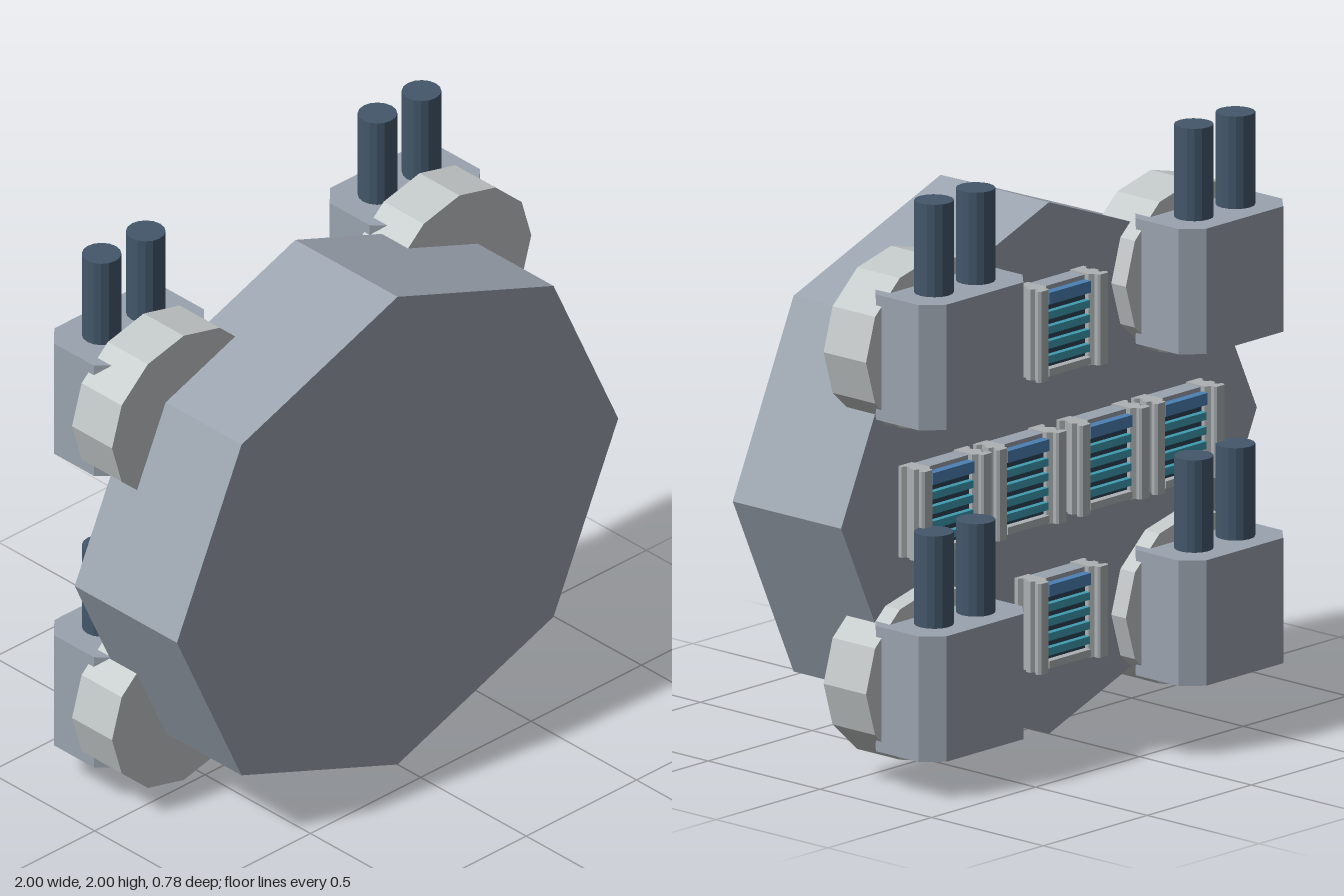
import * as THREE from 'three';

const mat = (name, color) => {
  const m = new THREE.MeshStandardMaterial({ color, flatShading: true });
  m.name = name;
  return m;
};

export function createModel() {
  const steel = mat('blue grey steel', 0x9aa3ae);
  const pale = mat('pale grey', 0xc2c7c8);
  const gunmetal = mat('gunmetal', 0x43576a);
  const railGrey = mat('rail grey', 0xacb1b3);
  const blue = mat('vent blue', 0x4b80b4);
  const teal = mat('vent teal', 0x3f9bb0);
  const dark = mat('vent dark', 0x2c4458);

  const model = new THREE.Group();
  model.name = 'turretPlatform';

  const add = (parent, name, geometry, material, x = 0, y = 0, z = 0) => {
    const mesh = new THREE.Mesh(geometry, material);
    mesh.name = name;
    mesh.position.set(x, y, z);
    parent.add(mesh);
    return mesh;
  };

  // Upright extrusion of a plan outline; second coordinate is distance toward the back (-z)
  const upright = (points, height) => {
    const shape = new THREE.Shape(points.map(([x, d]) => new THREE.Vector2(x, d)));
    const g = new THREE.ExtrudeGeometry(shape, { depth: height, bevelEnabled: false });
    return g.rotateX(-Math.PI / 2).translate(0, -height / 2, 0);
  };

  // Faceted disc facing along z, stretched to an ellipse
  const disc = (rx, ry, depth, sides) =>
    new THREE.CylinderGeometry(1, 1, depth, sides).rotateX(Math.PI / 2).scale(rx, ry, 1);

  // Main octagonal plate
  add(model, 'mainPlate', disc(1, 0.905, 0.485, 8), steel, 0, 0.905, 0.1475);

  // Four turrets: round mount, chamfered housing, two barrels
  const c = 0.065;
  const housing = upright([
    [-0.25, 0.07 + c], [-0.25 + c, 0.07], [0.25 - c, 0.07], [0.25, 0.07 + c],
    [0.25, 0.39 - c], [0.25 - c, 0.39], [-0.25 + c, 0.39], [-0.25, 0.39 - c],
  ], 0.427);
  const mount = disc(0.325, 0.295, 0.19, 12);
  const barrel = new THREE.CylinderGeometry(0.065, 0.065, 0.36, 16);
  for (const x of [-0.625, 0.625]) {
    for (const y of [0.343, 1.472]) {
      const turret = new THREE.Group();
      turret.name = 'turret';
      turret.position.set(x, y, 0);
      add(turret, 'turretMount', mount, pale, 0, 0, -0.065);
      add(turret, 'turretHousing', housing, steel);
      for (const bx of [-0.1, 0.1]) add(turret, 'barrel', barrel, gunmetal, bx, 0.348, -0.255);
      model.add(turret);
    }
  }

  // Vent panels on the back
  const H = 0.31;
  const railProfile = [
    [0.1, 0.08], [0.165, 0.08], [0.165, 0.11], [0.15, 0.12], [0.15, 0.135], [0.165, 0.145],
    [0.165, 0.165], [0.15, 0.173], [0.15, 0.183], [0.168, 0.19], [0.168, 0.202], [0.16, 0.21],
    [0.125, 0.21], [0.118, 0.202], [0.118, 0.19], [0.1, 0.178],
  ];
  const rails = [-1, 1].map((s) => upright(railProfile.map(([x, d]) => [s * x, d]), H));
  // Box spanning two depths behind the origin
  const ventBox = (w, h, d0, d1) =>
    new THREE.BoxGeometry(w, h, d1 - d0).translate(0, 0, -(d0 + d1) / 2);
  const body = ventBox(0.21, H - 0.01, 0.08, 0.16);
  const backing = ventBox(0.2, 0.25, 0.155, 0.164);
  const header = ventBox(0.2, 0.04, 0.155, 0.19);
  const slat = ventBox(0.2, 0.026, 0.155, 0.185);
  const sill = ventBox(0.2, 0.025, 0.155, 0.19);

  const addVent = (x, y) => {
    const vent = new THREE.Group();
    vent.name = 'ventPanel';
    vent.position.set(x, y, 0);
    rails.forEach((g) => add(vent, 'ventRail', g, railGrey));
    add(vent, 'ventBody', body, steel);
    add(vent, 'ventBacking', backing, dark);
    add(vent, 'ventHeader', header, blue, 0, 0.115);
    for (let i = 0; i < 4; i++) add(vent, 'ventSlat', slat, teal, 0, 0.056 - i * 0.05);
    add(vent, 'ventSill', sill, railGrey, 0, -0.137);
    model.add(vent);
  };
  for (const x of [-0.56, -0.2, 0.2, 0.56]) addVent(x, 0.907);
  for (const y of [0.41, 1.405]) addVent(0, y);

  return model;
}
